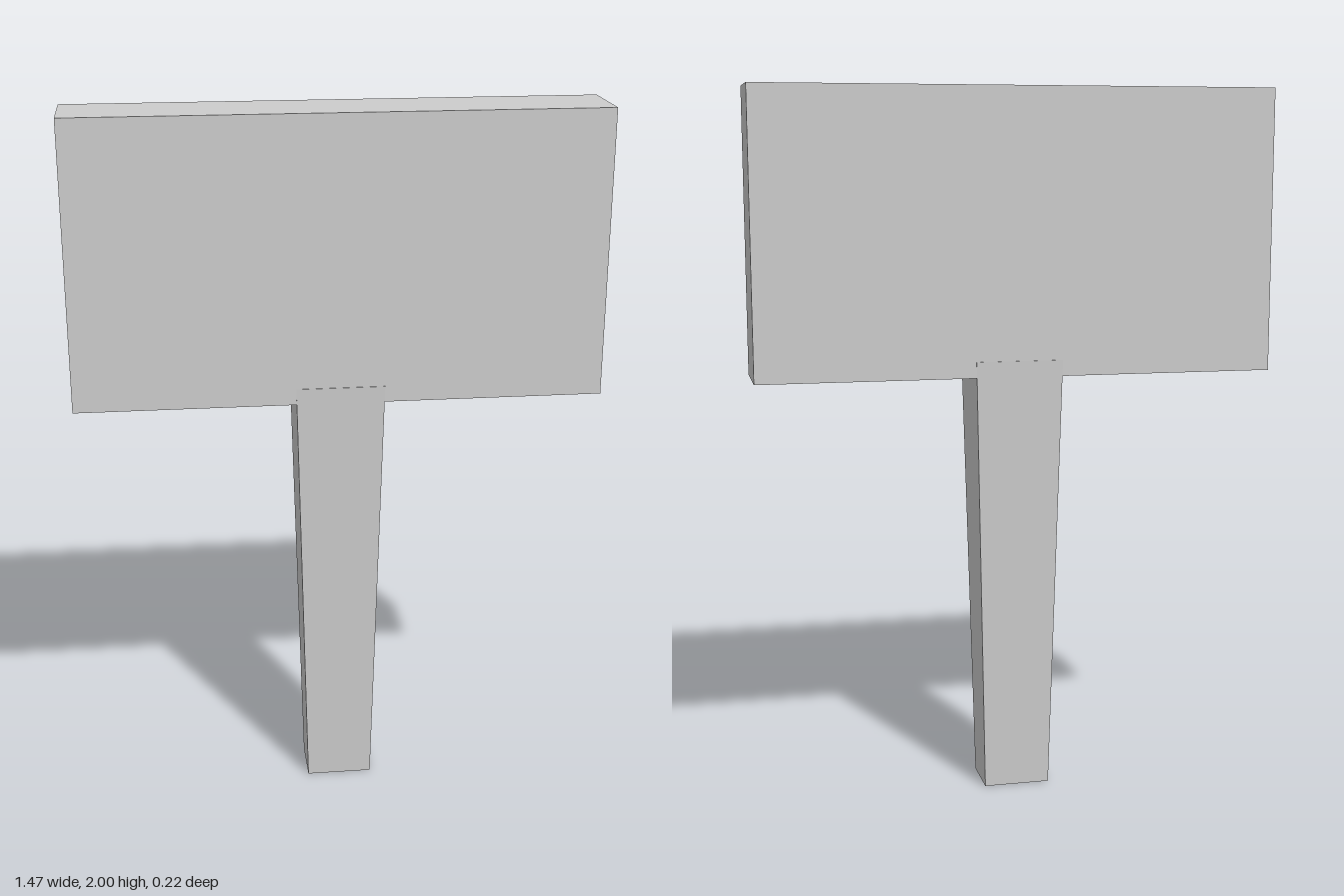
import * as THREE from 'three';

// Four-sided block that tapers from its base size to its top size
function taperedBlock(baseW, baseD, topW, topD, y0, y1) {
  const geo = new THREE.BoxGeometry(1, y1 - y0, 1);
  geo.translate(0, (y0 + y1) / 2, 0);
  const p = geo.attributes.position;
  for (let i = 0; i < p.count; i++) {
    const t = (p.getY(i) - y0) / (y1 - y0);
    p.setX(i, p.getX(i) * THREE.MathUtils.lerp(baseW, topW, t));
    p.setZ(i, p.getZ(i) * THREE.MathUtils.lerp(baseD, topD, t));
  }
  geo.computeVertexNormals();
  return geo;
}

export function createModel() {
  const model = new THREE.Group();
  model.name = 'mallet';

  const paleGrey = new THREE.MeshStandardMaterial({ color: 0xcccccc });
  paleGrey.name = 'pale grey';

  // Rectangular head
  const head = new THREE.Mesh(new THREE.BoxGeometry(1.466, 0.795, 0.218), paleGrey);
  head.name = 'head';
  head.position.y = 1.6025;

  // Handle widens upward and its top stands just proud of the head's faces
  const handle = new THREE.Mesh(taperedBlock(0.188, 0.144, 0.246, 0.222, 0, 1.25), paleGrey);
  handle.name = 'handle';

  model.add(head, handle);
  return model;
}
